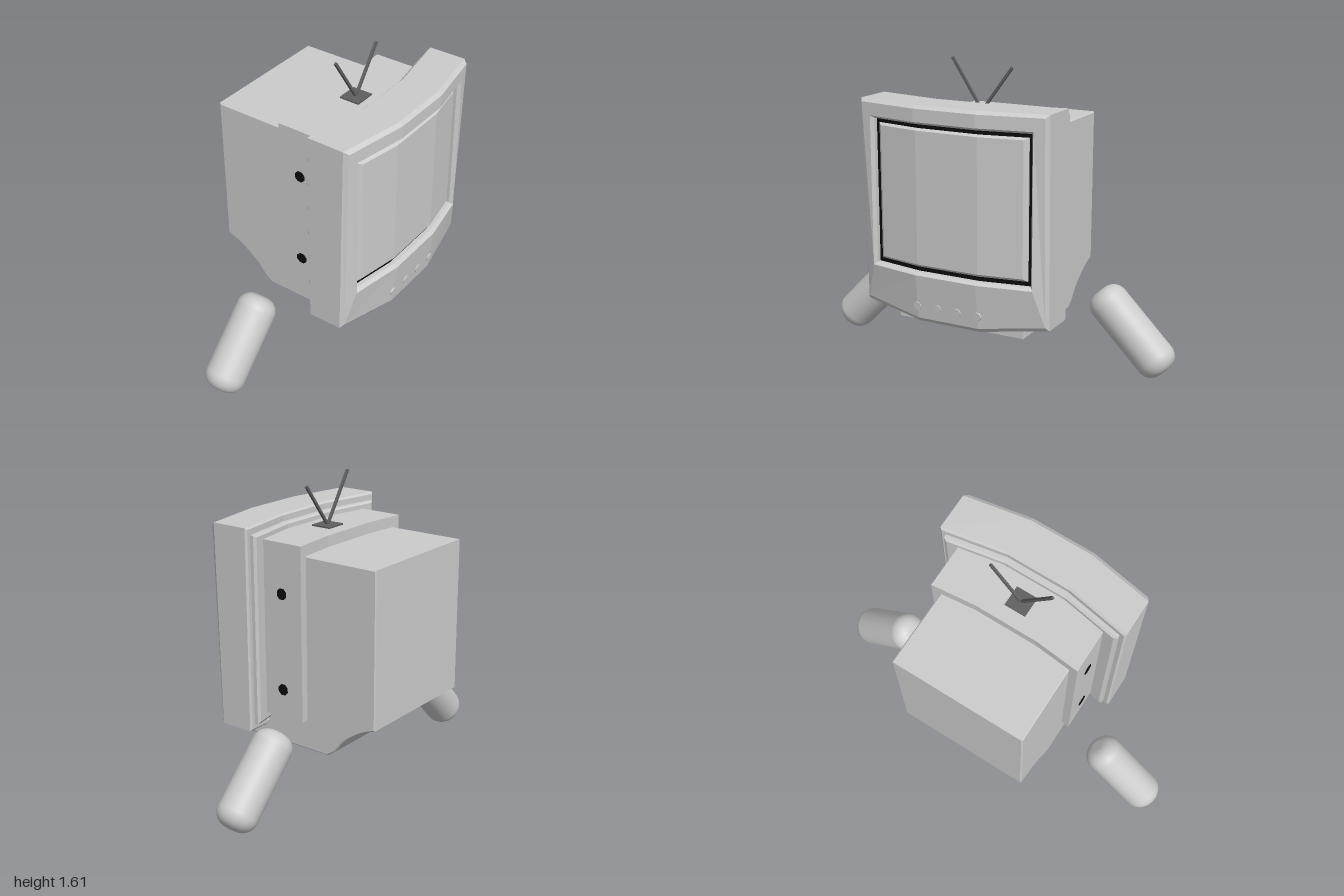
import * as THREE from 'three';

const HINGE = 0.17; // half-width of the flat middle strip of every bowed part

const grey = () => new THREE.MeshStandardMaterial({ color: 0xcccccc, flatShading: true });
const smoothGrey = new THREE.MeshStandardMaterial({ color: 0xcccccc });
const black = new THREE.MeshStandardMaterial({ color: 0x0c0c0c, flatShading: true });
const darkGrey = new THREE.MeshStandardMaterial({ color: 0x606060, flatShading: true });

// Rectangular cross-section bowed back at the sides; sag drops the middle of the lower edge
function ring(w, y0, y1, zLow, { zTop = zLow, bow = 0.18, sag = 0 } = {}) {
  const xs = [-w, -HINGE, HINGE, w];
  const bend = (x) => bow * (Math.abs(x) - HINGE);
  const low = xs.map((x, i) => [x, y0 - (i === 1 || i === 2 ? sag : 0), zLow - bend(x)]);
  const top = xs.map((x) => [x, y1, zTop - bend(x)]).reverse();
  return [...low, ...top];
}

// Skin a list of rings running from back to front, with end caps
function loft(rings) {
  const pos = [];
  const quad = (a, b, c, d) => pos.push(...a, ...b, ...c, ...a, ...c, ...d);
  for (let r = 0; r < rings.length - 1; r++) {
    const p = rings[r], q = rings[r + 1];
    for (let i = 0; i < 8; i++) quad(p[i], p[(i + 1) % 8], q[(i + 1) % 8], q[i]);
  }
  const first = rings[0], last = rings[rings.length - 1];
  for (let i = 0; i < 3; i++) {
    quad(last[i], last[i + 1], last[6 - i], last[7 - i]);
    quad(first[7 - i], first[6 - i], first[i + 1], first[i]);
  }
  const geo = new THREE.BufferGeometry();
  geo.setAttribute('position', new THREE.Float32BufferAttribute(pos, 3));
  geo.computeVertexNormals();
  return geo;
}

// Side profile (z, y) of the rear housing and base, extruded across x
function housingGeometry() {
  const b = 0.006;
  const s = new THREE.Shape();
  s.moveTo(0.2, 1.29 - b);
  s.lineTo(-0.47 + b, 1.29 - b);
  s.lineTo(-0.47 + b, 0.485 + b);
  s.splineThru([[-0.38, 0.455], [-0.28, 0.385], [-0.22, 0.315], [-0.18, 0.28 + b]]
    .map(([z, y]) => new THREE.Vector2(z, y)));
  s.lineTo(0.33 - b, 0.28 + b);
  s.lineTo(0.33 - b, 0.37);
  s.lineTo(0.2, 0.37);
  s.closePath();
  const depth = 0.73 - 2 * b;
  const geo = new THREE.ExtrudeGeometry(s, {
    depth, bevelEnabled: true, bevelSize: b, bevelThickness: b, bevelSegments: 1, curveSegments: 3,
  });
  return geo.translate(0, 0, -depth / 2).rotateY(-Math.PI / 2);
}

// Cylinder with softly rounded ends, spanning two points
function armGeometry(length) {
  const R = 0.104, c = 0.075, pts = [new THREE.Vector2(0, -length / 2 - c)];
  for (const end of [-1, 1]) {
    for (let i = 0; i <= 8; i++) {
      const a = (end < 0 ? i / 8 - 1 : i / 8) * Math.PI / 2;
      pts.push(new THREE.Vector2(R - c + c * Math.cos(a), end * length / 2 + c * Math.sin(a)));
    }
  }
  pts.push(new THREE.Vector2(0, length / 2 + c));
  return new THREE.LatheGeometry(pts, 36);
}

// Place a mesh built along y so that it runs from a to b
function span(mesh, a, b) {
  mesh.position.copy(a).lerp(b, 0.5);
  mesh.quaternion.setFromUnitVectors(new THREE.Vector3(0, 1, 0), b.clone().sub(a).normalize());
  return mesh;
}

export function createModel() {
  const model = new THREE.Group();
  const add = (name, geo, mat = grey()) => {
    const mesh = new THREE.Mesh(geo, mat);
    mesh.name = name;
    model.add(mesh);
    return mesh;
  };
  const sag = 0.045;

  // Front surround with chamfered edges and a recessed opening
  add('bezel', loft([
    ring(0.51, 0.375, 1.41, 0.245, { sag }),
    ring(0.52, 0.365, 1.42, 0.255, { sag }),
    ring(0.52, 0.365, 1.42, 0.435, { zTop: 0.455, sag }),
    ring(0.505, 0.385, 1.405, 0.45, { zTop: 0.476, sag }),
    ring(0.45, 0.57, 1.34, 0.476),
    ring(0.437, 0.582, 1.327, 0.455),
    ring(0.437, 0.582, 1.327, 0.42),
  ]));

  // Black surround and bowed screen
  add('screenSurround', loft([
    ring(0.437, 0.582, 1.327, 0.41),
    ring(0.437, 0.582, 1.327, 0.432),
  ]), black);
  add('screen', loft([
    ring(0.414, 0.606, 1.304, 0.41),
    ring(0.414, 0.606, 1.304, 0.44),
    ring(0.395, 0.62, 1.295, 0.455),
  ]));

  // Stepped shells behind the bezel
  add('rearLip', loft([
    ring(0.47, 0.41, 1.37, 0.215),
    ring(0.487, 0.395, 1.38, 0.225),
    ring(0.487, 0.395, 1.38, 0.27),
  ]));
  add('middleShell', loft([
    ring(0.41, 0.44, 1.348, -0.037, { bow: 0.1 }),
    ring(0.41, 0.44, 1.348, 0.24),
  ]));
  add('rearHousing', housingGeometry());

  // Control knobs
  for (const x of [-0.17, -0.056, 0.056, 0.17]) {
    const knob = add('knob', new THREE.CylinderGeometry(0.021, 0.026, 0.03, 16));
    knob.rotation.x = Math.PI / 2 + 0.1;
    knob.position.set(x, 0.407, 0.447);
  }

  // Round side sockets
  for (const side of [-1, 1]) {
    for (const y of [0.59, 1.09]) {
      const socket = add('sideSocket', new THREE.CylinderGeometry(0.03, 0.03, 0.012, 8), black);
      socket.rotation.set(0, Math.PI / 8, Math.PI / 2, 'ZYX');
      socket.position.set(side * 0.408, y, 0.06);
    }
  }

  // Antenna
  add('antennaBase', new THREE.BoxGeometry(0.114, 0.012, 0.11), darkGrey).position.set(0, 1.35, 0.095);
  for (const [x, y] of [[-0.168, 1.608], [0.168, 1.576]]) {
    const a = new THREE.Vector3(0, 1.352, 0.095), b = new THREE.Vector3(x, y, 0.095);
    span(add('antennaRod', new THREE.BoxGeometry(0.013, a.distanceTo(b), 0.013), darkGrey), a, b);
  }

  // Floating arms, the left one held slightly higher
  for (const [name, side, lift] of [['rightArm', -1, 0], ['leftArm', 1, 0.045]]) {
    const a = new THREE.Vector3(side * 0.904, 0.096 + lift, -0.06);
    const b = new THREE.Vector3(side * 0.647, 0.354 + lift, -0.06);
    span(add(name, armGeometry(a.distanceTo(b)), smoothGrey), a, b);
  }
  return model;
}
